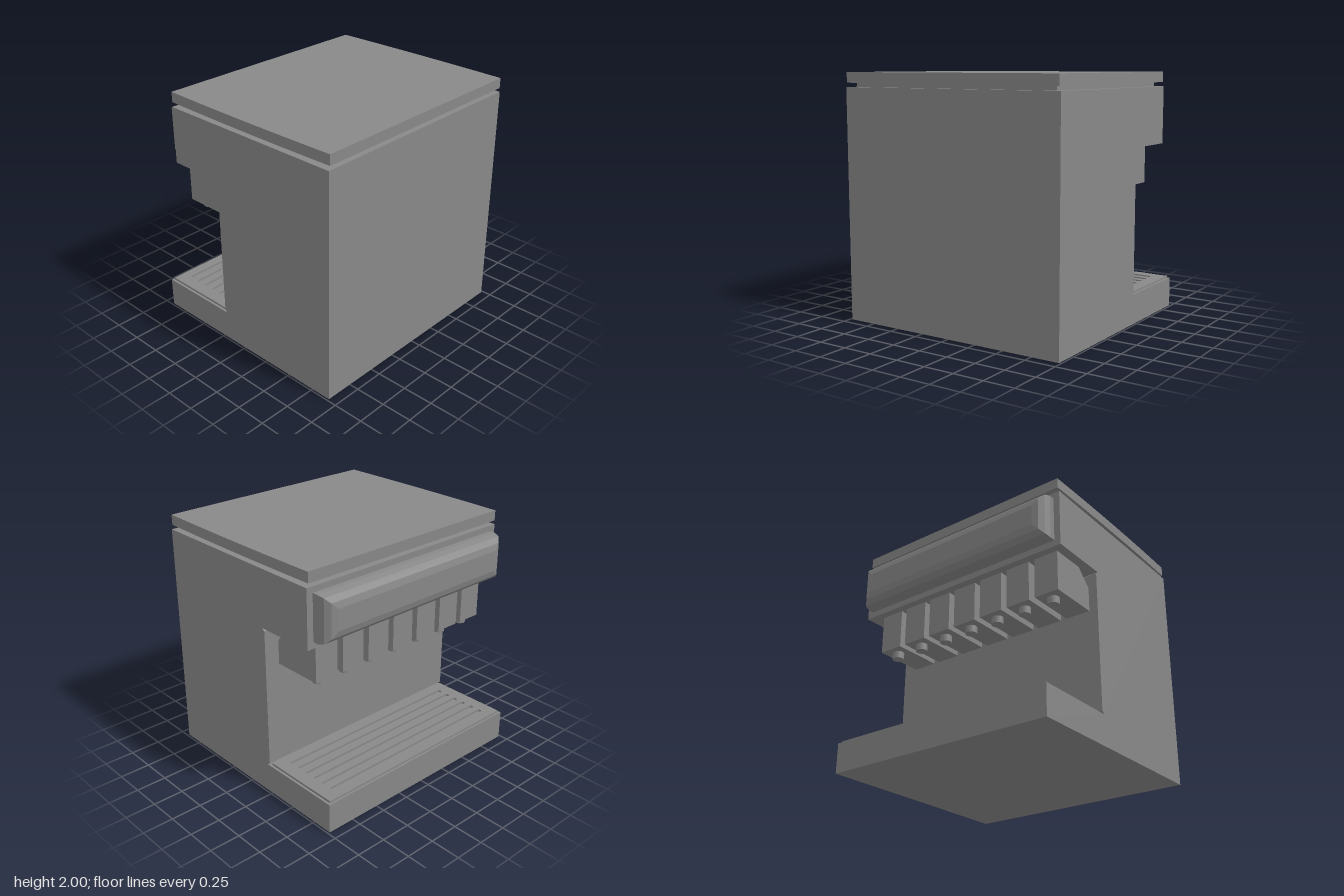
import * as THREE from 'three';

const material = new THREE.MeshStandardMaterial({ color: 0x888888 });

function add(group, name, geometry, x = 0, y = 0, z = 0) {
  const mesh = new THREE.Mesh(geometry, material);
  mesh.name = name;
  mesh.position.set(x, y, z);
  group.add(mesh);
}

const polygon = (points) => new THREE.Shape(points.map(([x, y]) => new THREE.Vector2(x, y)));

// Side profile in x/y, extruded along z and centred
function slab(shape, width) {
  return new THREE.ExtrudeGeometry(shape, { depth: width, bevelEnabled: false }).translate(0, 0, -width / 2);
}

// Plan outline, extruded upwards from y = 0
function plate(shape, height) {
  return new THREE.ExtrudeGeometry(shape, { depth: height, bevelEnabled: false, curveSegments: 8 }).rotateX(-Math.PI / 2);
}

// Long hole with rounded ends
function slot(x, halfLength, radius) {
  const path = new THREE.Path();
  path.absarc(x, halfLength - radius, radius, 0, Math.PI);
  path.absarc(x, radius - halfLength, radius, Math.PI, 2 * Math.PI);
  path.closePath();
  return path;
}

export function createModel() {
  const machine = new THREE.Group();
  machine.name = 'coffeeMachine';

  // C-shaped housing with small relief notches at the recess corners
  const housing = polygon([
    [-0.922, 0], [0.92, 0], [0.92, 1.883], [-0.708, 1.883], [-0.708, 1.417],
    [-0.2, 1.417], [-0.225, 1.397], [-0.225, 0.262], [-0.2, 0.243], [-0.922, 0.243],
  ]);
  add(machine, 'housing', slab(housing, 1.966));

  // Recessed neck and slightly bowed lid
  add(machine, 'lidNeck', new THREE.BoxGeometry(1.52, 0.06, 1.84), 0.106, 1.903, 0);
  const lid = new THREE.Shape();
  lid.moveTo(-0.713, -0.973);
  lid.quadraticCurveTo(0.104, -0.993, 0.922, -0.973);
  lid.lineTo(0.922, 0.973);
  lid.quadraticCurveTo(0.104, 0.993, -0.713, 0.973);
  add(machine, 'lid', plate(lid, 0.083), 0, 1.917, 0);

  // Control panel with rounded edges all round
  const panel = new THREE.ExtrudeGeometry(
    polygon([[-0.83, -0.084], [0.83, -0.084], [0.83, 0.084], [-0.83, 0.084]]),
    { depth: 0.047, bevelThickness: 0.1, bevelSize: 0.1, bevelSegments: 3 },
  ).rotateY(-Math.PI / 2);
  add(machine, 'controlPanel', panel, -0.708, 1.651, 0);

  // Row of dispensers, each with a nozzle
  const dispenser = slab(polygon([
    [-0.645, 1.092], [-0.22, 1.092], [-0.22, 1.285], [-0.358, 1.42], [-0.645, 1.42],
  ]), 0.207);
  const nozzle = new THREE.CylinderGeometry(0.047, 0.047, 0.07, 16);
  for (let i = -3; i <= 3; i++) {
    const z = 0.026 + i * 0.26;
    add(machine, 'dispenser', dispenser, 0, 0, z);
    add(machine, 'nozzle', nozzle, -0.553, 1.07, z);
  }

  // Slotted drip tray
  const tray = polygon([[-0.905, -0.963], [-0.235, -0.963], [-0.235, 0.963], [-0.905, 0.963]]);
  for (let i = 0; i < 6; i++) tray.holes.push(slot(-0.8 + i * 0.092, 0.86, 0.02));
  add(machine, 'dripTray', plate(tray, 0.017), 0, 0.243, 0);

  return machine;
}
